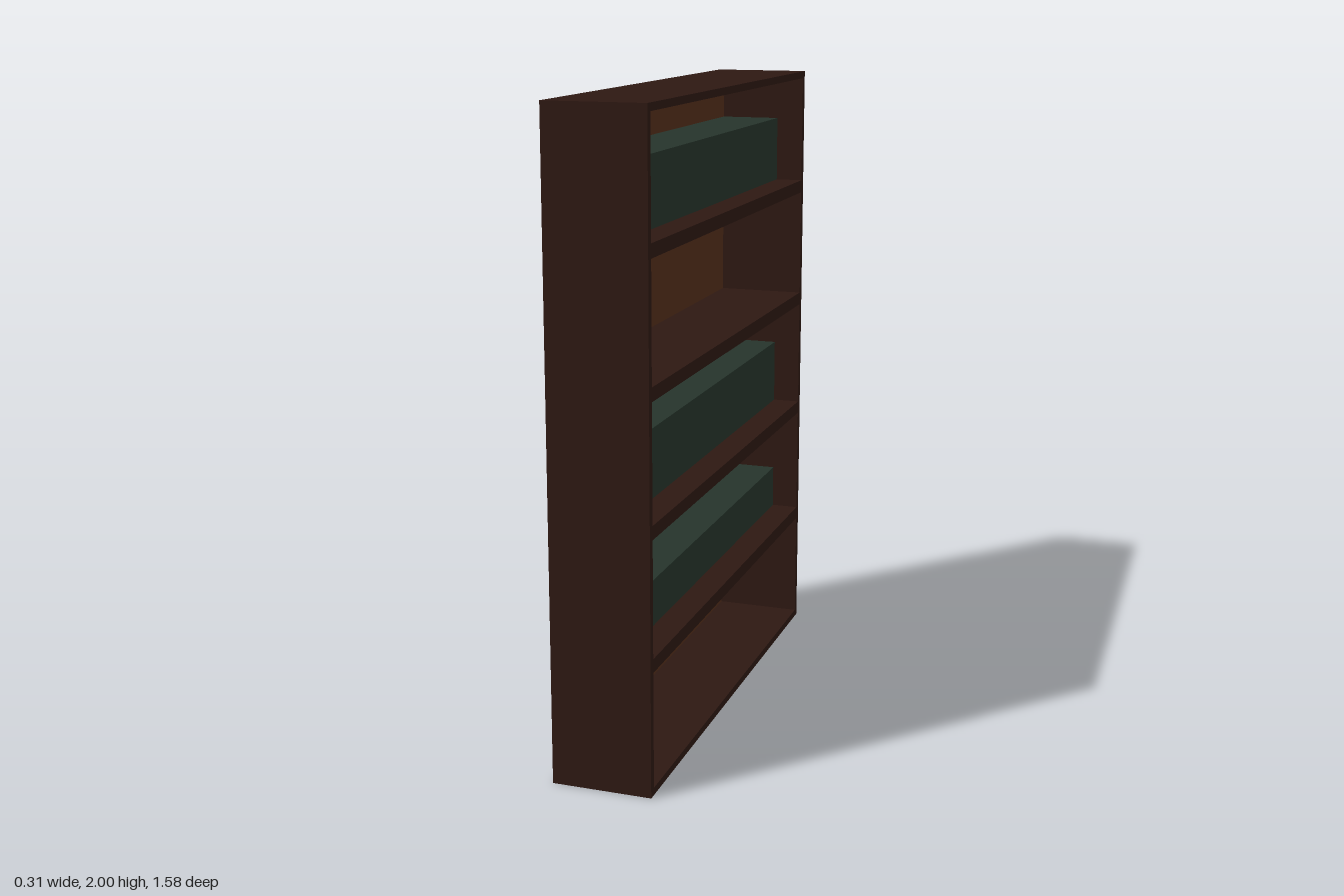
import * as THREE from 'three';

export function createModel() {
  const group = new THREE.Group();
  const darkWood = new THREE.MeshStandardMaterial({ color: 0x2d1812 });
  const backWood = new THREE.MeshStandardMaterial({ color: 0x542e1b });
  const green = new THREE.MeshStandardMaterial({ color: 0x26342b });

  // Box given by its lower and upper corners
  function box(name, min, max, material) {
    const size = max.map((v, i) => v - min[i]);
    const mesh = new THREE.Mesh(new THREE.BoxGeometry(...size), material);
    mesh.position.set(...min.map((v, i) => v + size[i] / 2));
    mesh.name = name;
    group.add(mesh);
  }

  const X = 0.155, Z = 0.792, H = 2, T = 0.023; // half depth, half width, height, board
  const inX = -X + T, inZ = Z - T;

  // Case, open towards +x
  box('sideFront', [-X, 0, inZ], [X, H, Z], darkWood);
  box('sideBack', [-X, 0, -Z], [X, H, -inZ], darkWood);
  box('topBoard', [-X, H - T, -inZ], [X, H, inZ], darkWood);
  box('bottomBoard', [-X, 0, -inZ], [X, T, inZ], darkWood);
  box('backBoard', [-X, T, -inZ], [inX - 0.004, H - T, inZ], darkWood);
  box('backLining', [inX - 0.004, T, -inZ], [inX, H - T, inZ], backWood);

  // Shelves
  for (let i = 0; i < 4; i++) {
    const y = 0.382 + i * 0.4;
    box('shelf', [inX, y, -inZ], [X, y + 0.042, inZ], darkWood);
  }

  // Rows of books as solid blocks, set back from the shelf edge
  for (const [shelf, top] of [[0, 0.568], [1, 1.038], [3, 1.838]]) {
    box('bookRow', [inX, 0.424 + shelf * 0.4, -inZ], [0.065, top, inZ], green);
  }

  return group;
}
